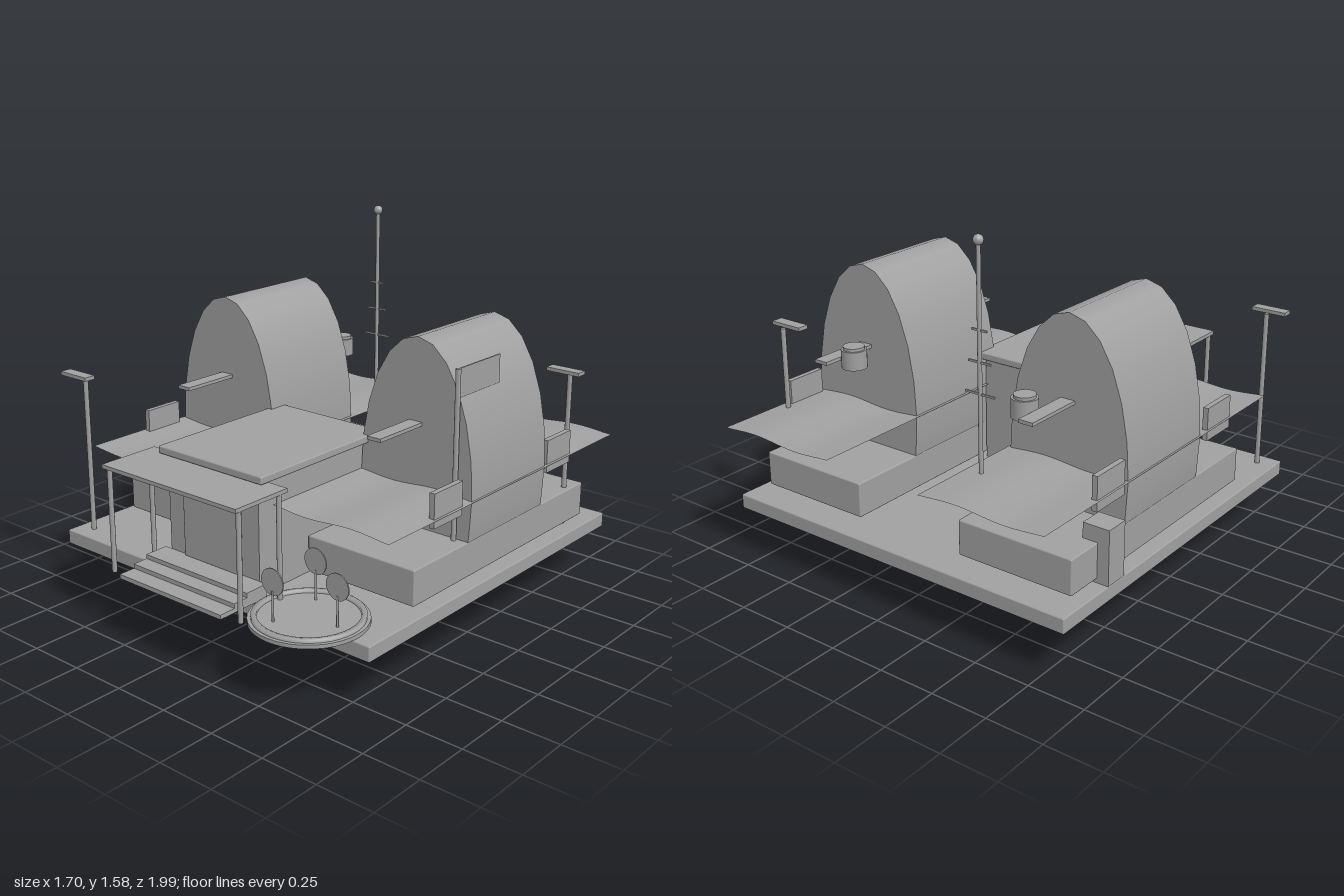
import * as THREE from 'three';
import { RoundedBoxGeometry } from 'three/addons/geometries/RoundedBoxGeometry.js';

export function createModel() {
  const root = new THREE.Group();
  root.name = 'stationModel';
  const grey = new THREE.MeshStandardMaterial({ color: 0xa0a0a0 });
  grey.name = 'plainGrey';
  const greySheet = grey.clone();
  greySheet.side = THREE.DoubleSide;

  const add = (name, geometry, x, y, z, material = grey) => {
    const mesh = new THREE.Mesh(geometry, material);
    mesh.name = name;
    mesh.position.set(x, y, z);
    root.add(mesh);
    return mesh;
  };
  // Box given by its [min, max] extent on each axis
  const box = (name, [x0, x1], [y0, y1], [z0, z1], bevel = 0) => {
    const size = [x1 - x0, y1 - y0, z1 - z0];
    const geometry = bevel ? new RoundedBoxGeometry(...size, 2, bevel) : new THREE.BoxGeometry(...size);
    return add(name, geometry, (x0 + x1) / 2, (y0 + y1) / 2, (z0 + z1) / 2);
  };
  // Upright cylinder between two heights
  const post = (name, r, x, y0, y1, z, sides = 12) =>
    add(name, new THREE.CylinderGeometry(r, r, y1 - y0, sides), x, (y0 + y1) / 2, z);

  // Base slab
  box('baseSlab', [-0.85, 0.85], [0.21, 0.276], [-0.92, 0.78], 0.006);

  // Two mirrored wings: elliptical hall, plinth, wavy platform sheet, beam, panels, tank
  for (const s of [-1, 1]) {
    const hall = new THREE.CylinderGeometry(1, 1, 0.54, 24);
    hall.rotateX(Math.PI / 2);
    hall.scale(0.28, 0.625, 1);
    add('ellipticalHall', hall, s * 0.53, 0.625, -0.18);

    box('hallPlinth', [s * 0.53 - 0.268, s * 0.53 + 0.268], [0.293, 0.446], [-0.8, 0.445], 0.006);

    const sheet = new THREE.PlaneGeometry(0.585, 1.635, 16, 1);
    sheet.rotateX(-Math.PI / 2);
    const p = sheet.attributes.position;
    for (let i = 0; i < p.count; i++) p.setY(i, 0.007 * Math.sin(p.getX(i) * 14));
    sheet.computeVertexNormals();
    add('platformSheet', sheet, s * 0.527, 0.628, -0.183, greySheet);

    box('throughBeam', [s * 0.527 - 0.033, s * 0.527 + 0.033], [0.885, 0.9], [-0.72, 0.36]);
    for (const z of [0.245, -0.563]) {
      box('sidePanel', [s * 0.796 - 0.012, s * 0.796 + 0.012], [0.585, 0.73], [z - 0.093, z + 0.093]);
    }
    post('tank', 0.054, s * 0.442, 0.86, 0.94, -0.61, 24);
    post('tankLid', 0.045, s * 0.442, 0.94, 0.953, -0.61, 24);
  }

  // Central entrance building
  box('entranceBody', [-0.25, 0.25], [0.276, 0.752], [0.02, 0.72]);
  box('entranceRoof', [-0.285, 0.285], [0.752, 0.785], [0, 0.74], 0.006);
  box('entranceDoor', [-0.157, 0.157], [0.335, 0.72], [0.7, 0.735], 0.006);

  // Porch canopy, posts and steps
  box('porchCanopy', [-0.37, 0.37], [0.73, 0.747], [0.685, 0.968]);
  for (const x of [-0.357, 0.357]) {
    for (const z of [0.72, 0.94]) post('porchPost', 0.011, x, 0.276, 0.732, z);
  }
  [[0.976, 0.278], [0.9, 0.297], [0.83, 0.316]].forEach(([front, y]) =>
    box('porchStep', [-0.285, 0.285], [y, y + 0.019], [0.72, front]));

  // Round planter with flat-crowned trees
  post('planterDish', 0.236, 0.54, 0.278, 0.294, 0.758, 40);
  const rim = [[0.2, 0.29], [0.2, 0.307], [0.222, 0.307], [0.222, 0.29]].map(([r, y]) => new THREE.Vector2(r, y));
  add('planterRim', new THREE.LatheGeometry(rim, 40), 0.54, 0, 0.758, greySheet);
  for (const [x, z] of [[0.467, 0.88], [0.68, 0.757], [0.467, 0.635]]) {
    post('treeTrunk', 0.005, x, 0.285, 0.42, z, 8);
    const crown = new THREE.CylinderGeometry(0.055, 0.055, 0.005, 24);
    crown.rotateX(Math.PI / 2);
    add('treeCrown', crown, x, 0.456, z);
  }

  // Antenna mast
  post('antennaMast', 0.009, -0.315, 0.585, 1.545, -0.72);
  add('antennaBall', new THREE.SphereGeometry(0.021, 16, 12), -0.315, 1.555, -0.72);
  for (const [y, half] of [[1.21, 0.036], [1.083, 0.053], [0.956, 0.07]]) {
    box('antennaBar', [-0.315 - half, -0.315 + half], [y - 0.004, y + 0.004], [-0.724, -0.716]);
  }

  // Lamp posts
  for (const [x, z] of [[-0.77, 0.7], [0.767, -0.695]]) {
    post('lampPost', 0.011, x, 0.276, 0.985, z);
    box('lampHead', [x - 0.079, x + 0.079], [0.982, 0.998], [z + 0.015, z + 0.066]);
  }

  // Flag
  post('flagPole', 0.011, 0.738, 0.446, 1.16, 0.105);
  box('flag', [0.735, 0.741], [1.04, 1.16], [-0.18, 0.105]);

  // Utility cabinet
  box('utilityCabinet', [-0.85, -0.73], [0.276, 0.512], [-0.632, -0.525]);
  add('cabinetKnob', new THREE.SphereGeometry(0.011, 12, 8), -0.79, 0.485, -0.52);

  return root;
}
